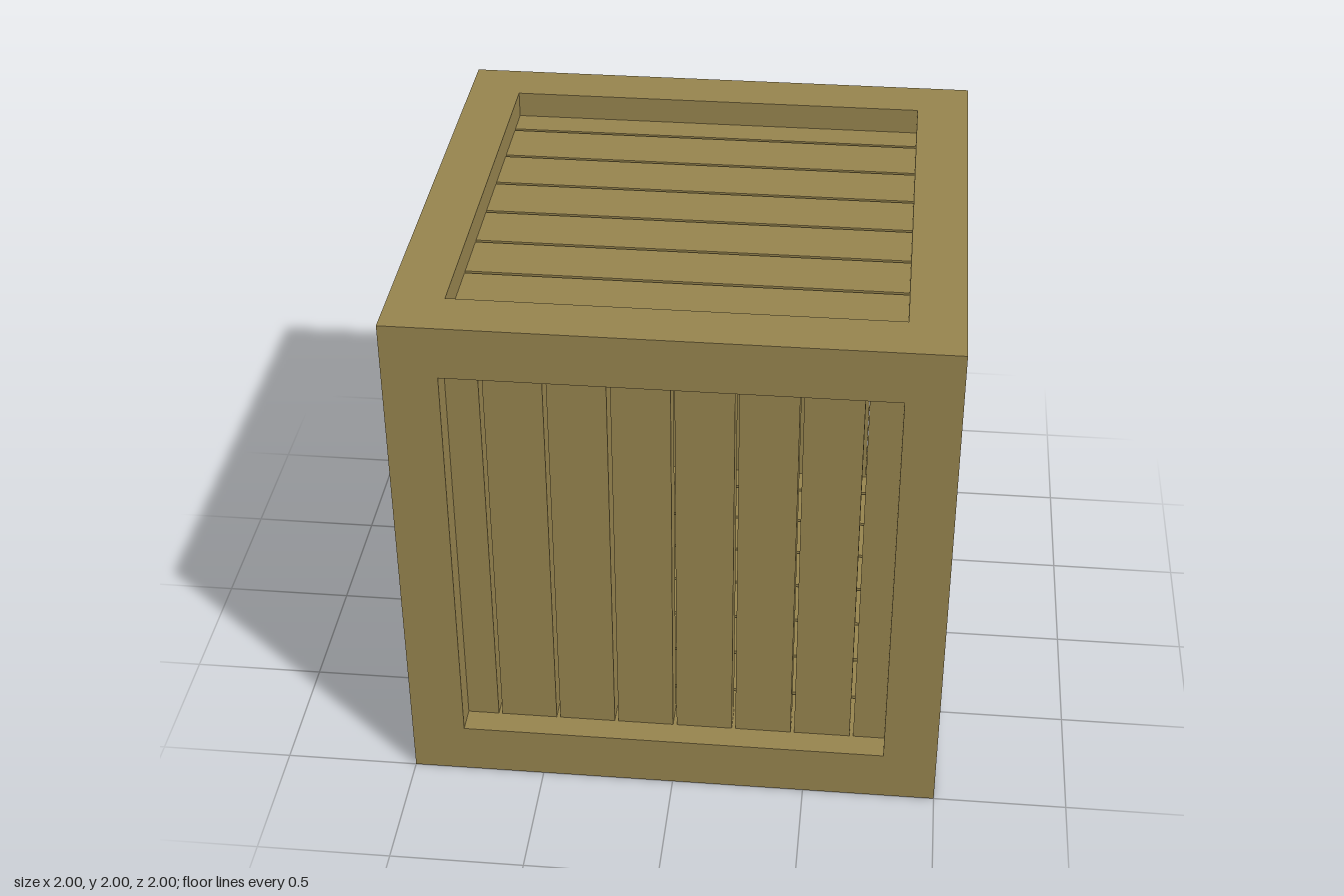
import * as THREE from 'three';

const BAR = 0.2;      // square frame bar
const INNER = 0.8;    // half width of each opening
const RECESS = 0.1;   // how far the planks sit behind the frame
const PITCH = 0.225;  // plank spacing
const GAP = 0.014;    // slit between planks

export function createModel() {
  const wood = new THREE.MeshStandardMaterial({ color: 0x96844e });
  const crate = new THREE.Group();
  crate.name = 'crate';

  function addBox(parent, name, size, position) {
    const mesh = new THREE.Mesh(new THREE.BoxGeometry(...size), wood);
    mesh.name = name;
    mesh.position.set(...position);
    parent.add(mesh);
  }

  // Frame: four corner posts, then the rails between them at top and bottom
  const frame = new THREE.Group();
  frame.name = 'frame';
  const edge = 1 - BAR / 2;
  for (const a of [-1, 1]) {
    for (const b of [-1, 1]) {
      addBox(frame, 'cornerPost', [BAR, 2, BAR], [a * edge, 0, b * edge]);
      addBox(frame, 'crossRail', [2 * INNER, BAR, BAR], [0, a * edge, b * edge]);
      addBox(frame, 'sideRail', [BAR, BAR, 2 * INNER], [a * edge, b * edge, 0]);
    }
  }
  crate.add(frame);

  // One panel of eight upright planks facing +z, the outer two cut by the frame
  function plankPanel(name) {
    const panel = new THREE.Group();
    panel.name = name;
    const thickness = 1 - RECESS - INNER;
    for (let i = -4; i < 4; i++) {
      const left = Math.max(i * PITCH + GAP / 2, -INNER);
      const right = Math.min((i + 1) * PITCH - GAP / 2, INNER);
      addBox(panel, 'plank', [right - left, 2 * INNER, thickness],
        [(left + right) / 2, 0, INNER + thickness / 2]);
    }
    crate.add(panel);
    return panel;
  }

  // Upright planks on the four sides
  ['frontPanel', 'leftPanel', 'backPanel', 'rightPanel'].forEach((name, i) => {
    plankPanel(name).rotation.y = i * Math.PI / 2;
  });

  // Lid and floor planks run from side to side
  for (const [name, turn] of [['lidPanel', -1], ['floorPanel', 1]]) {
    plankPanel(name).rotation.set(turn * Math.PI / 2, 0, Math.PI / 2);
  }
  // Turn order: spin the planks within their plane first, then tip the panel
  crate.position.y = 1;

  const model = new THREE.Group();
  model.name = 'woodenCrate';
  model.add(crate);
  return model;
}
